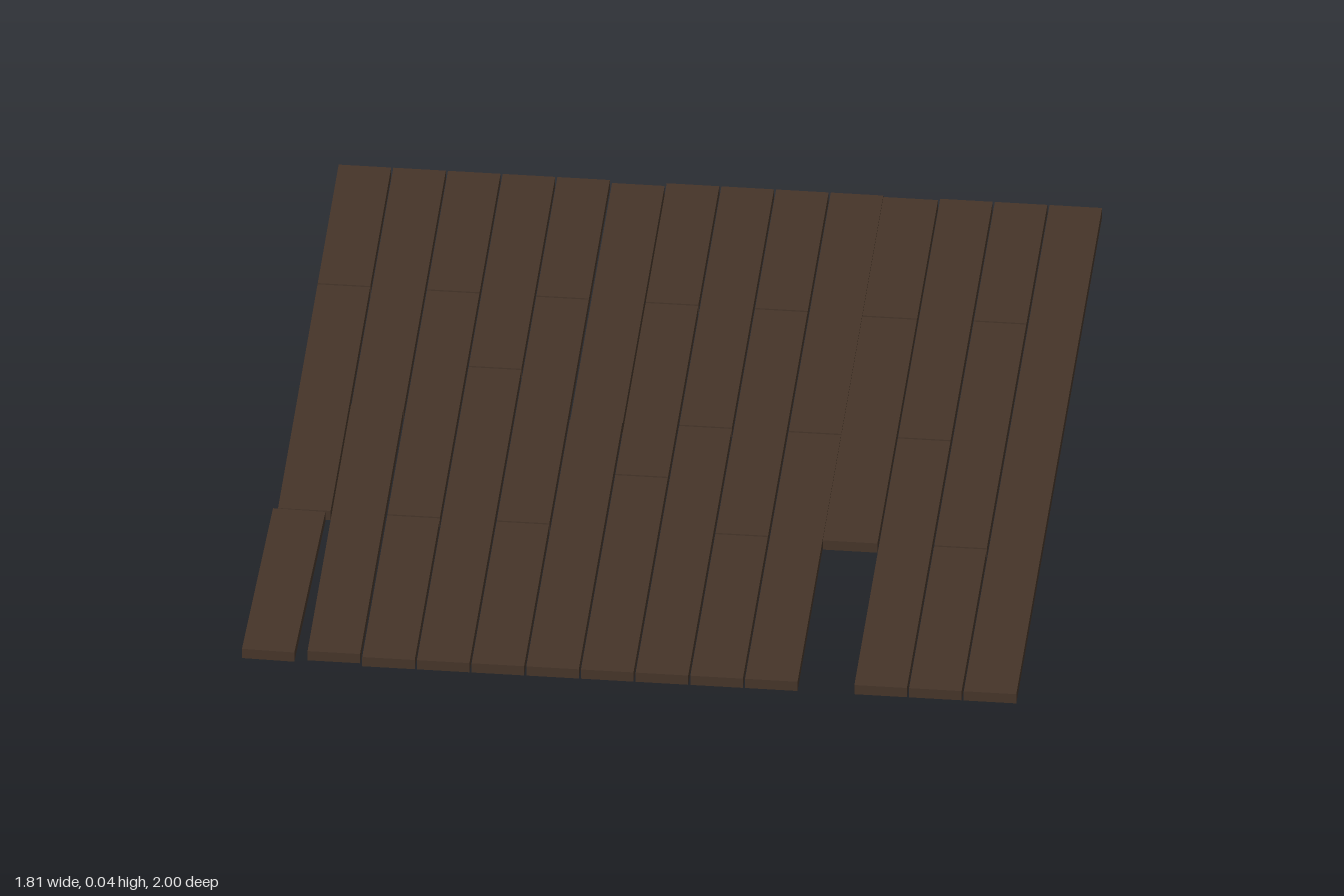
import * as THREE from 'three';

const PITCH = 0.1277, X0 = -0.883, GAP = 0.005, THICK = 0.026, BASE = 0.008;

// Cross seams (z) in each row of boards, from the right side to the left
const SEAMS = [
  [-0.51, 0.415], [-0.017], [-0.51, 0.415], [-0.208], [-0.51, 0.415], [-0.017], [-0.51, 0.198],
  [-0.017], [-0.51, 0.415], [-0.017], [-0.51, 0.415], [-0.017], [-0.51, 0.415], [],
];

// Height offsets of uneven boards, keyed by row and index from the back
const OFFSETS = { '1,1': 0.008, '5,0': -0.008, '10,0': -0.004, '10,1': -0.004 };

export function createModel() {
  const floor = new THREE.Group();
  floor.name = 'plankFloor';
  const wood = new THREE.MeshStandardMaterial({ color: 0x463529 });

  const addPlank = (name, x, y, z, width, length) => {
    const plank = new THREE.Mesh(new THREE.BoxGeometry(width, THICK, length), wood);
    plank.name = name;
    plank.position.set(x, y + THICK / 2, z);
    floor.add(plank);
    return plank;
  };

  SEAMS.forEach((seams, row) => {
    const ends = [-1 - GAP / 2, ...seams, 1 + GAP / 2];
    const x = X0 + (row + 0.5) * PITCH;
    for (let i = 0; i < ends.length - 1; i++) {
      const key = `${row},${i}`;
      // One board is missing, and the corner board is loose
      if (key === '10,2' || key === '0,2') continue;
      // The sunken row fits tight against its neighbour
      const tight = row === 10 ? GAP : 0;
      addPlank(`plank_${row}_${i}`, x - tight / 2, BASE + (OFFSETS[key] ?? 0),
        (ends[i] + ends[i + 1]) / 2, PITCH - GAP + tight, ends[i + 1] - ends[i] - GAP);
    }
  });

  // Loose corner board, knocked outward and slightly turned
  const loose = addPlank('loosePlank', -0.838, BASE, 0.706, PITCH - GAP, 0.58);
  loose.rotation.y = -0.025;

  return floor;
}
